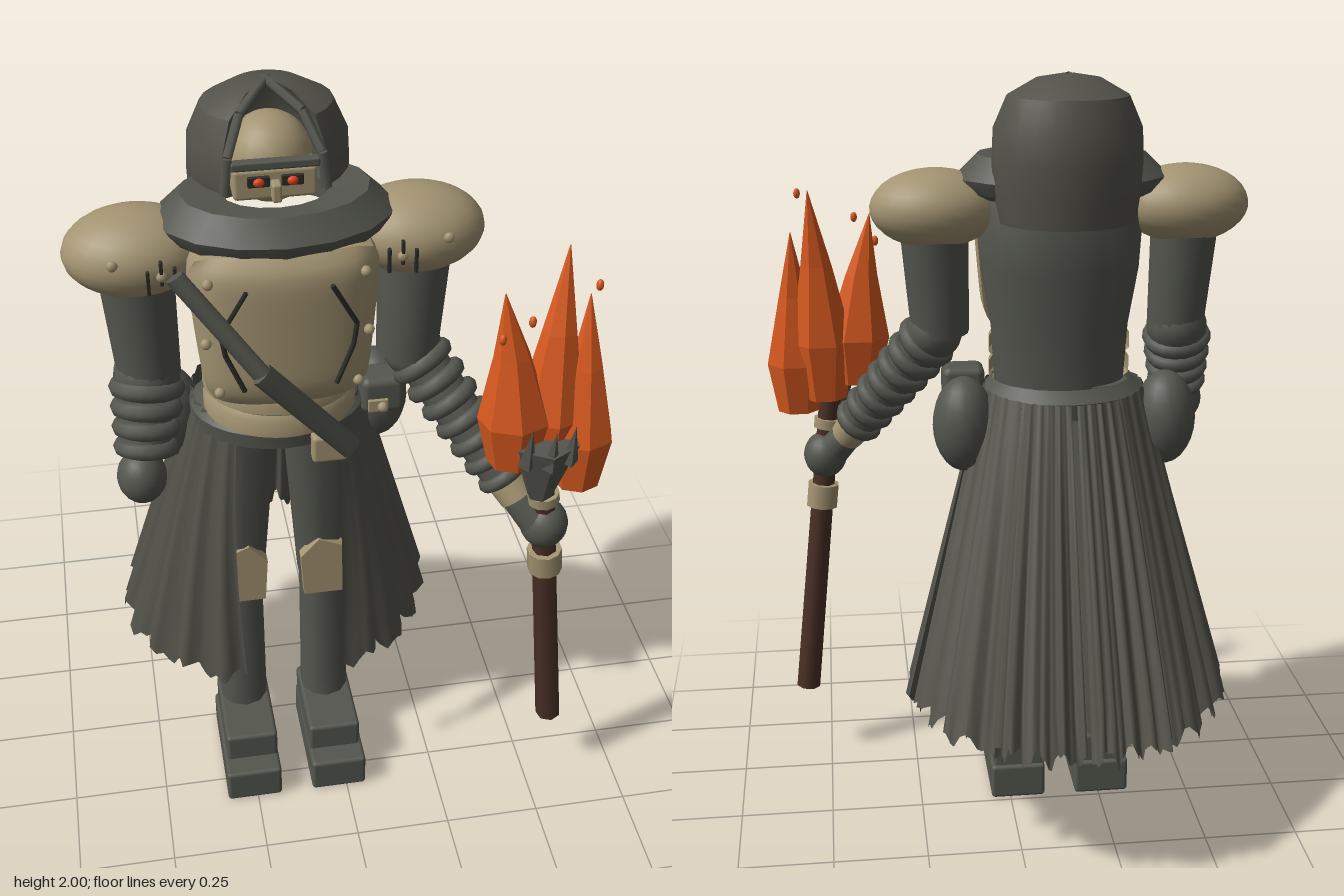
import * as THREE from 'three';
import { toCreasedNormals } from 'three/addons/utils/BufferGeometryUtils.js';
import { RoundedBoxGeometry } from 'three/addons/geometries/RoundedBoxGeometry.js';

const CX = -0.14; // body axis
const V = (x, y, z) => new THREE.Vector3(x, y, z);
const lerp = THREE.MathUtils.lerp;

const makeMat = (name, color, side = THREE.FrontSide) => {
  const m = new THREE.MeshStandardMaterial({ color, side });
  m.name = name;
  return m;
};

export function createModel() {
  const root = new THREE.Group();
  root.name = 'torchBearer';
  const iron = makeMat('darkIron', 0x54564e);
  const cloth = makeMat('darkCloth', 0x53524a, THREE.DoubleSide);
  const bone = makeMat('paleArmour', 0xa39472, THREE.DoubleSide);
  const ink = makeMat('blackSeams', 0x2b2c27);
  const fire = makeMat('flameOrange', 0xd95a20);
  const wood = makeMat('torchWood', 0x4a3026);
  const eyeRed = makeMat('glowingEye', 0xe0421a);

  const add = (name, geo, mat, p = [0, 0, 0], s = [1, 1, 1]) => {
    const m = new THREE.Mesh(geo, mat);
    m.name = name;
    m.position.set(...p);
    m.scale.set(...s);
    root.add(m);
    return m;
  };
  const ball = (name, mat, p, s, n = 20) => add(name, new THREE.SphereGeometry(1, n, Math.ceil(n * 0.7)), mat, p, s);
  const box = (name, mat, p, s, r = 0.01) => add(name, new RoundedBoxGeometry(...s, 2, r), mat, p);
  // tapered cylinder from point a to point b
  const limb = (name, mat, a, b, ra, rb, sides = 16) => {
    const d = b.clone().sub(a);
    const m = add(name, new THREE.CylinderGeometry(rb, ra, d.length(), sides), mat);
    m.position.copy(a).addScaledVector(d, 0.5);
    m.quaternion.setFromUnitVectors(V(0, 1, 0), d.normalize());
    return m;
  };
  const rod = (name, mat, pts, r) => pts.slice(1).forEach((p, i) => limb(name, mat, pts[i], p, r, r, 6));
  const lathe = (name, mat, prof, p, s, seg = 28, start = 0, len = Math.PI * 2) =>
    add(name, toCreasedNormals(new THREE.LatheGeometry(prof.map(q => new THREE.Vector2(...q)), seg, start, len), 0.7), mat, p, s);

  // one pleated cloth panel; angles in degrees measured from the back
  const skirtPanel = (side, topA, botA, out) => {
    const geo = new THREE.PlaneGeometry(1, 1, 32, 8);
    const pos = geo.attributes.position;
    for (let i = 0; i < pos.count; i++) {
      const u = pos.getX(i) + 0.5, v = 0.5 - pos.getY(i);
      const t = THREE.MathUtils.degToRad(lerp(lerp(topA[0], topA[1], u), lerp(botA[0], botA[1], u), v));
      const fold = (out + 0.012 * Math.sin(u * 31 + side) + 0.006 * Math.sin(u * 57)) * (0.2 + 0.8 * v);
      const rx = lerp(0.205, 0.405, v) + fold, rz = lerp(0.2, 0.37, v) + fold;
      const hem = 0.4 + 0.02 * Math.sin(u * 23 + side * 2) + 0.012 * Math.sin(u * 61);
      pos.setXYZ(i, CX + side * rx * Math.sin(t), lerp(1.21, hem, v), lerp(0.05, -0.1, v) - rz * Math.cos(t));
    }
    geo.computeVertexNormals();
    add('skirtPanel', geo, cloth);
  };

  for (const s of [-1, 1]) {
    const X = d => CX + s * d;
    // legs and boots
    box('bootSole', iron, [X(0.118), 0.05, 0.17], [0.15, 0.1, 0.32]);
    box('bootUpper', iron, [X(0.115), 0.135, 0.145], [0.14, 0.09, 0.25]);
    limb('shin', iron, V(X(0.115), 0.15, 0.085), V(X(0.11), 0.62, 0.07), 0.066, 0.06, 10);
    limb('thigh', iron, V(X(0.11), 0.6, 0.07), V(X(0.09), 1.2, 0.1), 0.065, 0.09, 10);
    const pad = new THREE.Shape([[-0.065, 0], [0.06, 0], [0.068, 0.13], [0.02, 0.185], [-0.06, 0.15]].map(q => new THREE.Vector2(...q)));
    add('kneePlate', new THREE.ExtrudeGeometry(pad, { depth: 0.03, bevelEnabled: false }), bone, [X(0.112), 0.58, 0.125], [-s, 1, 1]).material = bone;
    // skirt
    skirtPanel(s, [2, 37], [1, 33], 0.01);
    skirtPanel(s, [35, 92], [31, 88], 0);
    skirtPanel(s, [88, 146], [85, 163], 0.012);
    // shoulders with rivets and stitches
    ball('shoulderPad', bone, [X(0.32), 1.657, 0.125], [0.165, 0.1, 0.127], 24);
    ball('shoulderRivet', bone, [X(0.375), 1.685, 0.242], [0.013, 0.013, 0.01], 8);
    ball('shoulderRivet', bone, [X(0.27), 1.65, 0.246], [0.013, 0.013, 0.01], 8);
    for (let i = 0; i < 3; i++) box('shoulderStitch', ink, [X(0.3 - i * 0.03), 1.64 + (i % 2) * 0.02, 0.25 - i * 0.004], [0.008, 0.06, 0.012], 0.002);
    limb('upperArm', iron, V(X(0.31), 1.33, 0.14), V(X(0.325), 1.66, 0.125), 0.075, 0.09);
    // chest seams and rivets
    const z = d => 0.343 - 0.9 * d * d;
    rod('chestSeam', ink, [V(X(0.095), 1.645, z(0.095)), V(X(0.153), 1.535, z(0.153)), V(X(0.145), 1.48, z(0.145)), V(X(0.105), 1.385, z(0.105))], 0.006);
    for (const [d, y] of [[0.175, 1.655], [0.185, 1.5], [0.16, 1.37]]) ball('chestRivet', bone, [X(d), y, z(d) - 0.012], [0.013, 0.013, 0.013], 8);
    // hood rim and eyes
    rod('hoodRim', iron, [V(CX, 1.99, 0.005), V(X(0.07), 1.945, 0.085), V(X(0.105), 1.87, 0.14), V(X(0.115), 1.785, 0.145)], 0.012);
    box('eyeSocket', ink, [X(0.038), 1.81, 0.144], [0.05, 0.026, 0.01], 0.003);
    ball('eye', eyeRed, [X(0.038), 1.81, 0.15], [0.013, 0.011, 0.008], 10);
    // hip bags
    ball('hipBag', iron, [X(0.262), 1.12, 0.01], [0.08, 0.125, 0.085]);
  }

  // torso, belly rings and belt
  lathe('torso', iron, [[0.17, 1.18], [0.18, 1.35], [0.205, 1.5], [0.215, 1.68], [0.15, 1.78]], [CX, 0, 0.125], [1, 1, 0.7]);
  [0, 1].forEach(i => lathe('bellyRing', bone, [[0.17, 0], [0.185, 0.012], [0.185, 0.055], [0.175, 0.07]],
    [CX, 1.2 + i * 0.065, 0.125], [1, 1, 0.9], 20, -1.6, 3.2));
  lathe('belt', iron, [[0.18, 1.14], [0.21, 1.15], [0.215, 1.19], [0.18, 1.22]], [CX, 0, 0.085], [1, 1, 0.8]);
  box('buckle', bone, [-0.045, 1.175, 0.29], [0.085, 0.075, 0.04]);
  box('beltPouch', iron, [0.115, 1.2, 0.11], [0.11, 0.1, 0.09], 0.02);
  box('pouchClasp', bone, [0.1, 1.18, 0.157], [0.05, 0.035, 0.01], 0.003);
  ball('pouchButton', bone, [0.11, 1.18, 0.166], [0.014, 0.014, 0.014], 8);

  // curved breastplate
  const plate = new THREE.BoxGeometry(0.44, 0.39, 0.13, 20, 16, 3);
  const pp = plate.attributes.position;
  for (let i = 0; i < pp.count; i++) {
    const x = pp.getX(i), y = pp.getY(i), a = x / 0.22, b = y / 0.195;
    const nx = x * (0.93 + 0.07 * b) * (1 - 0.1 * b ** 8);
    pp.setXYZ(i, nx, y * (1 - 0.08 * a ** 6), pp.getZ(i) - 0.9 * nx * nx - (pp.getZ(i) > 0 ? 0.035 * Math.min(1, a ** 8 + b ** 8) : 0));
  }
  plate.computeVertexNormals();
  add('breastplate', plate, bone, [CX, 1.515, 0.272]);

  // diagonal strap
  const strapPts = [V(-0.385, 1.68, 0.3), V(-0.21, 1.45, 0.365), V(0.005, 1.18, 0.315)];
  strapPts.slice(1).forEach((p, i) => {
    const m = limb('chestStrap', iron, strapPts[i], p, 0.028, 0.028, 8);
    m.scale.z = 0.6;
  });

  // collar
  lathe('collar', iron, [[0.2, 1.675], [0.255, 1.7], [0.272, 1.735], [0.215, 1.79], [0.12, 1.78]], [CX, 0, 0.13], [1, 1, 0.69], 16);

  // head and hood
  ball('head', bone, [CX, 1.82, 0.04], [0.1, 0.105, 0.1]);
  box('faceplate', bone, [CX, 1.8, 0.105], [0.19, 0.075, 0.075]);
  box('nose', bone, [CX, 1.79, 0.155], [0.022, 0.045, 0.035], 0.006);
  box('brow', iron, [CX, 1.85, 0.14], [0.2, 0.022, 0.024], 0.006);
  const hood = new THREE.LatheGeometry([[0.172, 1.64], [0.182, 1.71], [0.187, 1.79], [0.183, 1.87], [0.15, 1.945], [0.08, 1.985], [0.004, 1.998]]
    .map(q => new THREE.Vector2(...q)), 18, 0.68, Math.PI * 2 - 1.36);
  const hp = hood.attributes.position;
  for (let i = 0; i < hp.count; i++) {
    const hz = hp.getZ(i);
    if (hz > 0) hp.setY(i, Math.max(hp.getY(i), 1.64 + Math.min(0.13, hz * 3)));
  }
  hood.computeVertexNormals();
  add('hood', toCreasedNormals(hood, 0.6), cloth, [CX, 0, 0.015], [1, 1, 0.83]);

  // forearms with wrapped rings, cuffs and fists
  const forearm = (a, b, rings, r) => {
    limb('forearm', iron, a, b, r * 0.85, r * 0.75);
    ball('elbow', iron, a.toArray(), [r, r, r]);
    for (let i = 0; i < rings; i++) {
      const c = a.clone().lerp(b, (i + 0.7) / rings), rr = r * (1.08 - 0.2 * i / rings);
      const m = add('armWrap', new THREE.TorusGeometry(rr * 0.78, rr * 0.28, 8, 18), iron, c.toArray());
      m.quaternion.setFromUnitVectors(V(0, 0, 1), b.clone().sub(a).normalize());
    }
  };
  forearm(V(-0.455, 1.33, 0.14), V(-0.475, 1.15, 0.21), 4, 0.08);
  ball('rightFist', iron, [-0.49, 1.1, 0.235], [0.06, 0.07, 0.062]);
  forearm(V(0.185, 1.33, 0.14), V(0.395, 1.03, 0.31), 7, 0.072);
  limb('cuff', bone, V(0.385, 1.04, 0.3), V(0.42, 0.99, 0.335), 0.05, 0.046);
  limb('leftWrist', iron, V(0.41, 1.0, 0.33), V(0.47, 0.93, 0.365), 0.04, 0.05);
  ball('leftFist', iron, [0.482, 0.925, 0.365], [0.06, 0.065, 0.062]);

  // torch
  const foot = V(0.56, 0.215, 0.345), tip = V(0.462, 1.1, 0.375);
  const along = t => foot.clone().lerp(tip, t);
  limb('torchShaft', wood, foot, tip, 0.034, 0.03, 7);
  limb('torchFerrule', bone, along(0.63), along(0.705), 0.044, 0.044, 10);
  limb('torchRing', bone, along(0.89), along(0.92), 0.04, 0.04, 10);
  const flat = g => { const n = g.toNonIndexed(); n.computeVertexNormals(); return n; };
  add('torchCup', flat(new THREE.CylinderGeometry(0.085, 0.03, 0.17, 6)), iron, [0.45, 1.13, 0.4]);
  for (const a of [-0.7, 0, 0.7]) {
    const spike = add('cupSpike', flat(new THREE.ConeGeometry(0.022, 0.12, 4)), iron, [0.45 + 0.08 * Math.sin(a), 1.23, 0.395 + 0.075 * Math.cos(a)]);
    spike.rotation.x = 0.2;
  }
  // flames: base x, z, radius, base y, tip point
  const flames = [[0.385, 0.37, 0.088, 1.13, 0.34, 1.6, 0.36], [0.475, 0.355, 0.085, 1.09, 0.5, 1.675, 0.3], [0.55, 0.375, 0.08, 1.05, 0.55, 1.56, 0.33]];
  for (const [x, z, r, y, tx, ty, tz] of flames) {
    const h = ty - y;
    const g = new THREE.LatheGeometry([[0.001, 0], [r * 0.7, 0.005], [r, h * 0.28], [r * 0.5, h * 0.65], [0.001, h]].map(q => new THREE.Vector2(...q)), 7);
    const p = g.attributes.position;
    for (let i = 0; i < p.count; i++) {
      const k = (p.getY(i) / h) ** 2;
      p.setX(i, p.getX(i) + (tx - x) * k);
      p.setZ(i, p.getZ(i) * 0.85 + (tz - z) * k);
    }
    add('flame', flat(g), fire, [x, y, z]);
  }
  for (const e of [[0.53, 1.645, 0.43], [0.38, 1.575, 0.445], [0.325, 1.515, 0.415]]) ball('ember', fire, e, [0.009, 0.014, 0.009], 8);
  return root;
}
